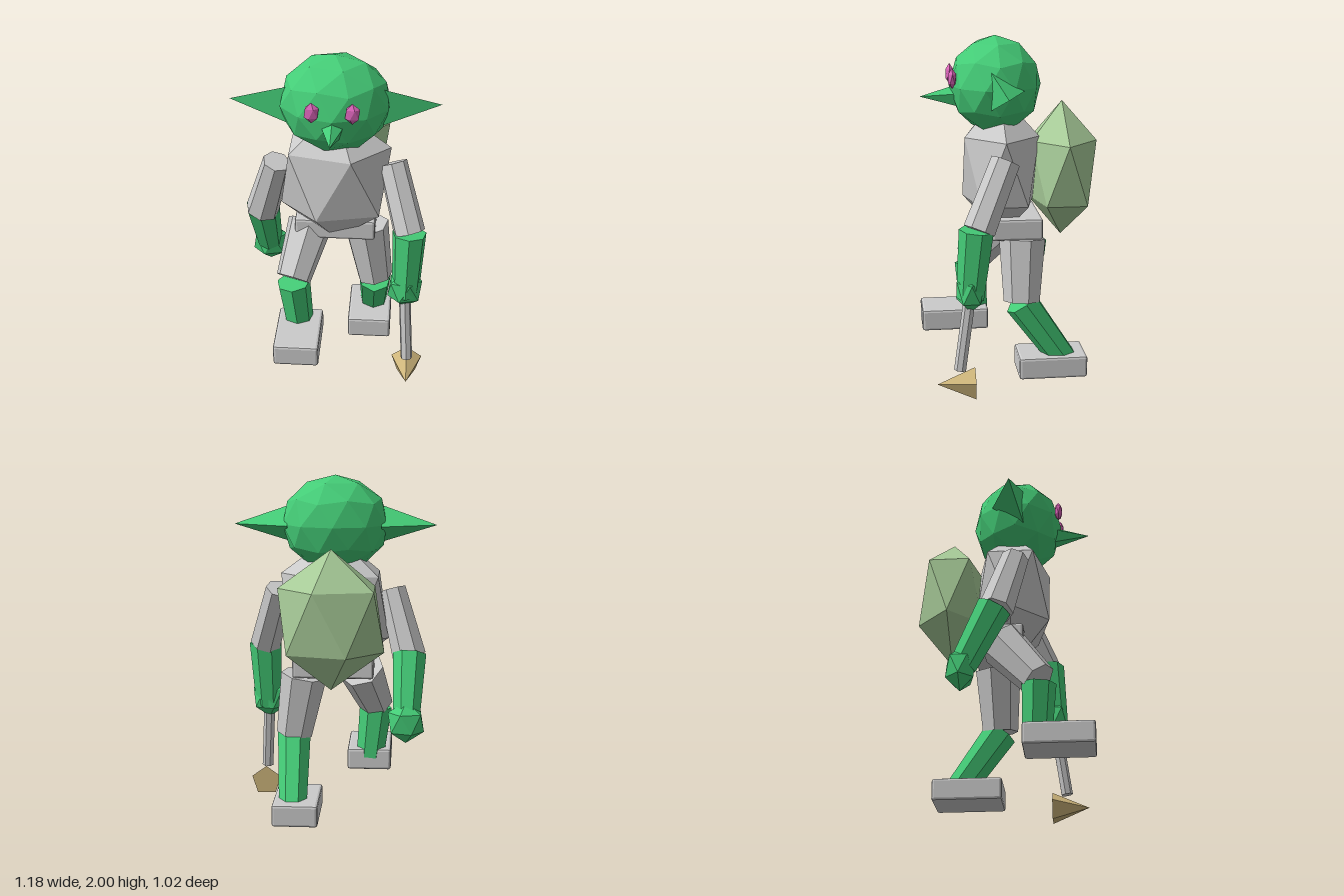
import * as THREE from 'three';
import { RoundedBoxGeometry } from 'three/addons/geometries/RoundedBoxGeometry.js';

const mat = (color) => new THREE.MeshStandardMaterial({ color, flatShading: true });

export function createModel() {
  const model = new THREE.Group();
  const grey = mat(0xcccccc), skin = mat(0x44cc77), pack = mat(0xa8cc99);
  const pink = mat(0xdd66bb), ochre = mat(0xccb47a);

  const add = (name, geometry, material, x, y, z) => {
    const mesh = new THREE.Mesh(geometry, material);
    mesh.name = name;
    mesh.position.set(x, y, z);
    model.add(mesh);
    return mesh;
  };

  // Faceted ball standing on a vertex, scaled to three radii
  const ball = (name, material, [x, y, z], [rx, ry, rz], detail = 0) => {
    const g = new THREE.IcosahedronGeometry(1, detail);
    g.rotateZ(-Math.atan(2 / (1 + Math.sqrt(5))));
    g.scale(rx, ry, rz);
    return add(name, g, material, x, y, z);
  };

  // Tapered prism from point a to point b
  const limb = (name, material, a, b, ra, rb, sides = 7) => {
    const A = new THREE.Vector3(...a), B = new THREE.Vector3(...b);
    const dir = A.clone().sub(B);
    const mid = A.clone().add(B).multiplyScalar(0.5);
    const g = new THREE.CylinderGeometry(ra, rb, dir.length(), sides);
    const mesh = add(name, g, material, mid.x, mid.y, mid.z);
    mesh.quaternion.setFromUnitVectors(new THREE.Vector3(0, 1, 0), dir.normalize());
    return mesh;
  };

  const block = (name, x, y, z, w, h, d) =>
    add(name, new RoundedBoxGeometry(w, h, d, 1, 0.015), grey, x, y, z);

  // Forward-pointing five-sided cone
  const spike = (name, material, r, length, x, y, zBase) => {
    const g = new THREE.ConeGeometry(r, length, 5, 1, false, Math.PI);
    g.rotateX(Math.PI / 2);
    return add(name, g, material, x, y, zBase + length / 2);
  };

  // Body
  ball('torso', grey, [0, 1.24, 0.045], [0.355, 0.425, 0.253]);
  block('pelvis', 0, 0.91, -0.03, 0.47, 0.125, 0.295);
  ball('backpack', pack, [0, 1.22, -0.315], [0.335, 0.4, 0.224]);

  // Head
  ball('head', skin, [0, 1.72, 0.075], [0.315, 0.28, 0.265], 1);
  spike('nose', skin, 0.065, 0.21, 0, 1.655, 0.297);
  for (const s of [1, -1]) {
    ball(s > 0 ? 'leftEye' : 'rightEye', pink, [s * 0.11, 1.77, 0.328], [0.045, 0.06, 0.026]);
    const ear = new THREE.ConeGeometry(0.123, 0.32, 3, 1, false, Math.PI);
    ear.rotateZ(-s * Math.PI / 2);
    add(s > 0 ? 'leftEar' : 'rightEar', ear, skin, s * 0.43, 1.715, 0.063);
  }

  // Left arm, reaching forward
  limb('leftUpperArm', grey, [0.325, 1.335, 0.05], [0.435, 0.97, 0.21], 0.085, 0.093);
  limb('leftForearm', skin, [0.435, 0.975, 0.225], [0.425, 0.58, 0.262], 0.1, 0.08);
  ball('leftHand', skin, [0.42, 0.62, 0.26], [0.112, 0.125, 0.09]);

  // Right arm, swung back
  limb('rightUpperArm', grey, [-0.335, 1.335, 0.08], [-0.44, 0.955, -0.02], 0.08, 0.1);
  limb('rightForearm', skin, [-0.44, 0.97, -0.03], [-0.428, 0.63, -0.2], 0.1, 0.078);
  ball('rightHand', skin, [-0.425, 0.61, -0.215], [0.117, 0.125, 0.09]);

  // Left leg, trailing
  limb('leftThigh', grey, [0.175, 0.845, -0.065], [0.235, 0.485, -0.055], 0.137, 0.107);
  limb('leftShin', skin, [0.235, 0.48, -0.05], [0.222, 0.12, -0.3], 0.1, 0.083);
  block('leftFoot', 0.203, 0.097, -0.23, 0.265, 0.13, 0.4);

  // Right leg, stepping forward
  limb('rightThigh', grey, [-0.155, 0.88, -0.01], [-0.24, 0.615, 0.2], 0.137, 0.105);
  limb('rightShin', skin, [-0.24, 0.59, 0.2], [-0.208, 0.28, 0.185], 0.1, 0.085);
  block('rightFoot', -0.203, 0.273, 0.31, 0.265, 0.13, 0.4);

  // Held staff and its point
  limb('staff', grey, [0.42, 0.6, 0.262], [0.445, 0.16, 0.325], 0.035, 0.035);
  spike('staffPoint', ochre, 0.095, 0.215, 0.445, 0.078, 0.24);

  return model;
}
